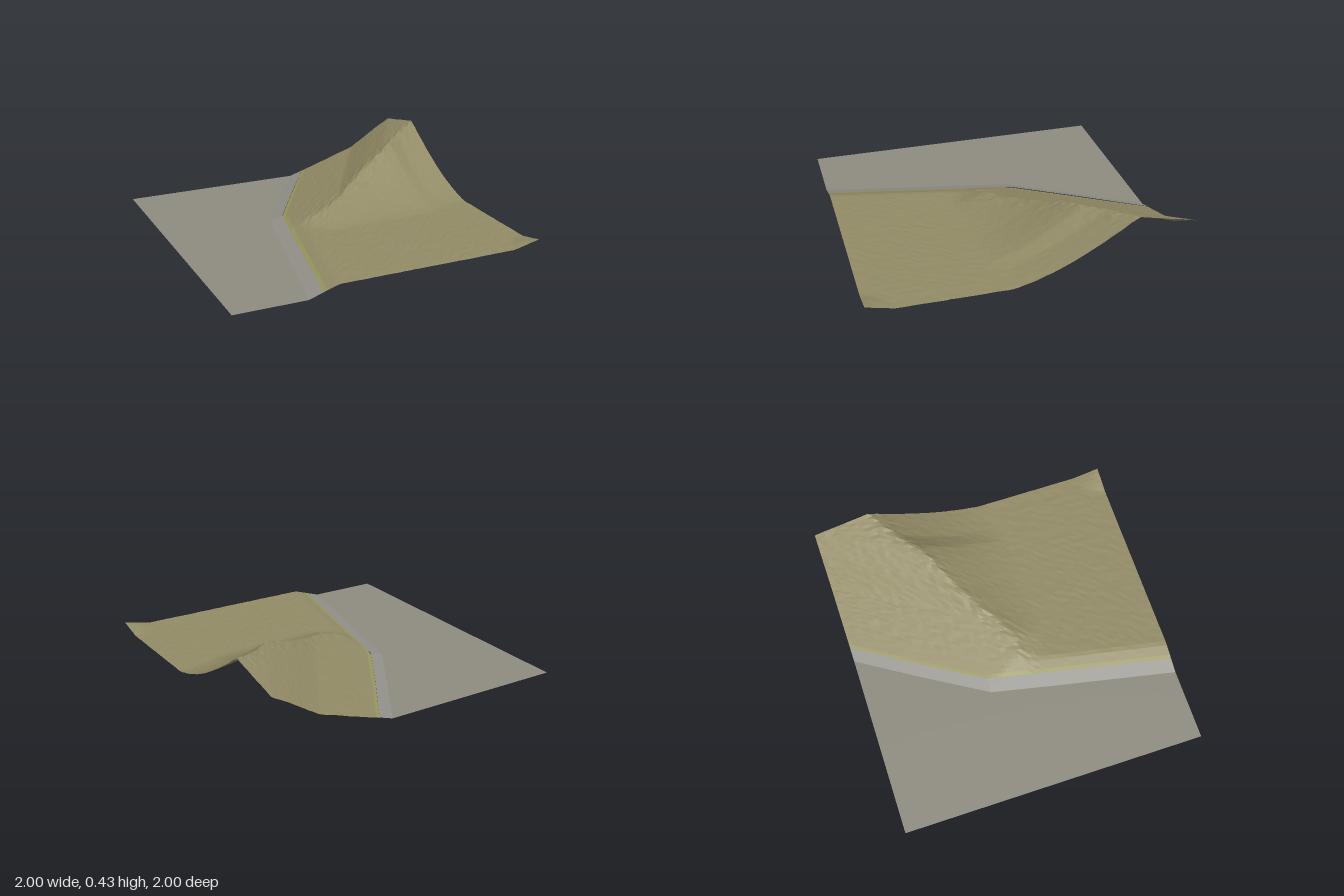
import * as THREE from 'three';

// Piecewise-linear lookup through [input, output] points
function lookup(points, v) {
  if (v <= points[0][0]) return points[0][1];
  for (let i = 1; i < points.length; i++) {
    const [a, p] = points[i - 1];
    const [b, q] = points[i];
    if (v <= b) return p + ((q - p) * (v - a)) / (b - a);
  }
  return points[points.length - 1][1];
}

const SHORE = [[-1, 0.29], [-0.6, 0.04], [-0.2, -0.2], [0.2, -0.285], [1, -0.45]]; // z -> x
const RIDGE = [[-0.2, 0.06], [0, 0.05], [0.1, 0], [0.2, -0.08], [0.4, -0.22], [0.7, -0.38], [0.8, -0.49], [1, -0.62]]; // x -> z
const RUN = [[-0.2, 0.12], [0.1, 0.26], [0.4, 0.46], [1, 0.78]]; // x -> length of the front slope
const RAMP = [[0, 0.025], [0.11, 0.065], [0.36, 0.16], [0.51, 0.27], [0.63, 0.35], [0.82, 0.43]]; // inland distance -> y
const PLAIN = 0.062;
const BANK = 0.09;

const shoreX = (z) => lookup(SHORE, z);
const toeX = (z) => shoreX(z) - BANK;

// Repeatable small irregularity
function rough(x, z) {
  const n = Math.sin(x * 127.1 + z * 311.7) * 43758.5453;
  return n - Math.floor(n) - 0.5;
}

// Height of the long ramp behind the ridge
function rampHeight(x, z) {
  const inland = (x - 0.28) * 0.86 + (z + 1) * 0.51;
  return Math.min(lookup(RAMP, inland), 0.03 + 0.5 * (x - shoreX(z)));
}

function hillHeight(x, z) {
  const inland = x - shoreX(z);
  const base = Math.min(PLAIN, 0.03 + 0.33 * inland);
  const crestZ = lookup(RIDGE, x);
  let y;
  if (z < crestZ) {
    y = rampHeight(x, z);
  } else {
    const t = Math.min(1, (z - crestZ) / lookup(RUN, x));
    const crest = Math.max(base, rampHeight(x, crestZ));
    y = base + (crest - base) * Math.pow(1 - t, 1.5);
  }
  // Small mound in the front corner
  const corner = Math.hypot(x - 1, z - 1);
  y += 0.04 * Math.max(0, 1 - corner / 0.17);
  const nearCrest = Math.max(0, 1 - Math.abs(z - crestZ) / 0.12);
  return y + rough(x, z) * (0.003 + 0.008 * nearCrest) * Math.min(1, Math.max(0, inland) * 6);
}

function bankHeight(x, z) {
  return Math.max(0, 0.03 * (1 + (x - shoreX(z)) / BANK));
}

// Sheet of ground between two boundary curves x = left(z) and x = right(z)
function groundSheet(name, color, left, right, height, columns, rows) {
  const geometry = new THREE.PlaneGeometry(2, 2, columns, rows);
  geometry.rotateX(-Math.PI / 2);
  const p = geometry.attributes.position;
  for (let i = 0; i < p.count; i++) {
    const u = (p.getX(i) + 1) / 2;
    const z = p.getZ(i);
    const x = left(z) + (right(z) - left(z)) * u;
    p.setXYZ(i, x, height(x, z), z);
  }
  geometry.computeVertexNormals();
  const material = new THREE.MeshStandardMaterial({ color, flatShading: true, side: THREE.DoubleSide });
  const mesh = new THREE.Mesh(geometry, material);
  mesh.name = name;
  return mesh;
}

export function createModel() {
  const group = new THREE.Group();
  group.name = 'coastalTerrain';
  const rows = 60;
  const grassX = (z) => shoreX(z) + 0.025;
  group.add(
    // Flat low ground
    groundSheet('lowland', 0x8e8b80, () => -1, toeX, () => 0, 12, rows),
    // Short bank up from the low ground
    groundSheet('bank', 0x93918a, toeX, shoreX, bankHeight, 2, rows),
    // Thin grassy rim along the bank
    groundSheet('grassRim', 0x96965c, shoreX, grassX, hillHeight, 1, rows),
    // Plain, ridge and rear ramp
    groundSheet('hillside', 0x928b66, grassX, () => 1, hillHeight, 46, rows),
  );
  return group;
}
